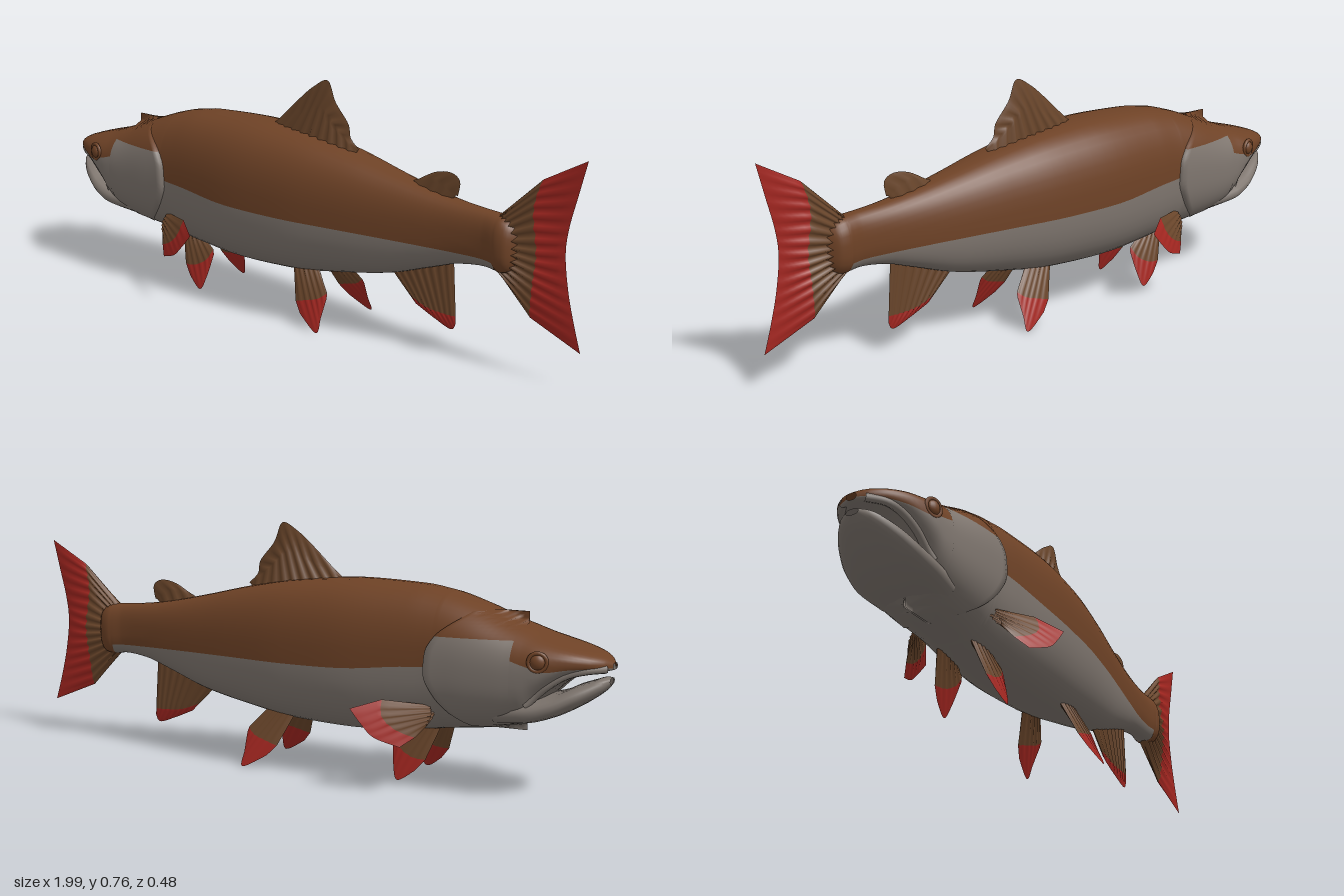
import * as THREE from 'three';

const mat = (name, color) => new THREE.MeshStandardMaterial({ name, color, side: THREE.DoubleSide });
const N = 2.5; // roundness exponent of the body sections

// Body stations: x, top, bottom, half width, height of the colour border
const BODY = [
  [-0.998, 0.412, 0.392, 0.015, 0.398], [-0.98, 0.427, 0.388, 0.05, 0.4], [-0.95, 0.44, 0.385, 0.083, 0.4],
  [-0.9, 0.455, 0.372, 0.115, 0.398], [-0.84, 0.471, 0.33, 0.138, 0.39], [-0.8, 0.482, 0.29, 0.148, 0.4],
  [-0.76, 0.496, 0.235, 0.152, 0.41], [-0.7, 0.516, 0.205, 0.154, 0.43], [-0.6, 0.555, 0.188, 0.154, 0.465],
  [-0.51, 0.583, 0.178, 0.152, 0.47], [-0.495, 0.586, 0.175, 0.152, 0.38], [-0.4, 0.6, 0.16, 0.157, 0.372],
  [-0.2, 0.606, 0.146, 0.167, 0.352], [0, 0.592, 0.153, 0.156, 0.347], [0.2, 0.557, 0.182, 0.126, 0.345],
  [0.35, 0.522, 0.212, 0.097, 0.342], [0.5, 0.49, 0.262, 0.068, 0.338], [0.6, 0.475, 0.293, 0.052, 0.335],
  [0.68, 0.468, 0.302, 0.045, 0.333], [0.72, 0.465, 0.298, 0.05, 0.33], [0.735, 0.464, 0.295, 0.052, 0.2],
  [0.76, 0.455, 0.3, 0.047, 0.2], [0.79, 0.43, 0.33, 0.015, 0.2],
];
const JAW = [
  [-0.992, 0.368, 0.35, 0.02, 1], [-0.975, 0.368, 0.33, 0.05, 1], [-0.94, 0.357, 0.302, 0.082, 1],
  [-0.9, 0.342, 0.276, 0.105, 1], [-0.85, 0.318, 0.25, 0.124, 1], [-0.78, 0.3, 0.226, 0.135, 1], [-0.68, 0.29, 0.212, 0.125, 1],
];

// Monotone cubic interpolation of column c of a station table
function at(tab, x, c) {
  const n = tab.length;
  let i = 0;
  while (i < n - 2 && x > tab[i + 1][0]) i++;
  const d = (k) => (tab[k + 1][c] - tab[k][c]) / (tab[k + 1][0] - tab[k][0]);
  const slope = (k) => {
    if (k === 0) return d(0);
    if (k === n - 1) return d(n - 2);
    const a = d(k - 1), b = d(k);
    return a * b <= 0 ? 0 : (2 * a * b) / (a + b);
  };
  const h = tab[i + 1][0] - tab[i][0];
  const t = THREE.MathUtils.clamp((x - tab[i][0]) / h, 0, 1), s = 1 - t;
  return tab[i][c] * s * s * (1 + 2 * t) + tab[i + 1][c] * t * t * (3 - 2 * t) + h * t * s * (slope(i) * s - slope(i + 1) * t);
}

// Half width of the body at a given x and y
function sideZ(x, y) {
  const t = at(BODY, x, 1), b = at(BODY, x, 2);
  const f = Math.min(1, Math.abs((y - (t + b) / 2) / ((t - b) / 2)));
  return at(BODY, x, 3) * Math.pow(1 - Math.pow(f, N), 1 / N);
}

// Grid surface; pick(i, j) gives the material index of each cell
function grid(nu, nv, point, pick) {
  const pos = [], sets = [[], []];
  for (let i = 0; i <= nu; i++) for (let j = 0; j <= nv; j++) pos.push(...point(i, j));
  for (let i = 0; i < nu; i++) for (let j = 0; j < nv; j++) {
    const a = i * (nv + 1) + j, b = a + nv + 1;
    sets[pick(i, j)].push(a, a + 1, b, b, a + 1, b + 1);
  }
  const g = new THREE.BufferGeometry();
  g.setAttribute('position', new THREE.Float32BufferAttribute(pos, 3));
  g.setIndex([...sets[0], ...sets[1]]);
  g.addGroup(0, sets[0].length, 0);
  g.addGroup(sets[0].length, sets[1].length, 1);
  g.computeVertexNormals();
  return g;
}

// Skin over a station table: belly, back, belly around each ring
function loft(tab, steps) {
  const xs = [];
  for (let k = 0; k < tab.length - 1; k++)
    for (let s = 0; s < steps; s++) xs.push(THREE.MathUtils.lerp(tab[k][0], tab[k + 1][0], s / steps));
  xs.push(tab[tab.length - 1][0]);
  const pw = (v, e) => Math.sign(v) * Math.pow(Math.abs(v), e);
  return grid(xs.length - 1, 40, (i, j) => {
    const x = xs[i], t = at(tab, x, 1), b = at(tab, x, 2), m = (t + b) / 2, h = (t - b) / 2;
    const s = THREE.MathUtils.clamp((at(tab, x, 4) - m) / h, -0.99, 0.99);
    const cut = Math.asin(pw(s, N / 2)), H = Math.PI / 2;
    let a;
    if (j <= 10) a = -H + (cut + H) * j / 10;
    else if (j <= 30) a = cut + (Math.PI - 2 * cut) * (j - 10) / 20;
    else a = Math.PI - cut + (cut + H) * (j - 30) / 10;
    return [x, m + h * pw(Math.sin(a), 2 / N), at(tab, x, 3) * pw(Math.cos(a), 2 / N)];
  }, (i, j) => (j >= 10 && j < 30 ? 0 : 1));
}

// Lens-shaped fin spanned by root, colour border and tip curves; zAt places it sideways
function fin(root, mid, tip, thick, rays, zAt) {
  const [r, m, t] = [root, mid, tip].map((c) => new THREE.SplineCurve(c.map((p) => new THREE.Vector2(...p))));
  const nu = rays * 4, half = 6, nv = half * 2;
  const sheet = (side) => grid(nu, nv, (i, j) => {
    const u = i / nu, v = j / nv;
    const p = j <= half ? r.getPoint(u).lerp(m.getPoint(u), j / half) : m.getPoint(u).lerp(t.getPoint(u), j / half - 1);
    const ridge = 0.8 + 0.25 * Math.cos(u * rays * Math.PI * 2);
    const w = thick * Math.pow(1 - v, 0.8) * Math.sqrt(Math.max(0, Math.sin(Math.PI * u))) * ridge;
    return [p.x, p.y, zAt(p.x, p.y) + side * w];
  }, (i, j) => (j < half ? 0 : 1));
  return [sheet(1), sheet(-1)];
}

export function createModel() {
  const model = new THREE.Group();
  const brown = mat('brown skin', 0x6e4226);
  const finBrown = mat('fin brown', 0x69452a);
  const grey = mat('grey belly', 0x7f766f);
  const red = mat('red fin tip', 0xa32620);
  const add = (name, geo, material, parent = model) => {
    const mesh = new THREE.Mesh(geo, material);
    mesh.name = name;
    parent.add(mesh);
    return mesh;
  };
  const addFin = (name, mats, ...args) => {
    const g = new THREE.Group();
    g.name = name;
    fin(...args).forEach((geo) => add(name + 'Side', geo, mats, g));
    model.add(g);
  };

  add('body', loft(BODY, 4), [brown, grey]);
  add('lowerJaw', loft(JAW, 4), grey);

  // Gill cover: rear edge as a function of height
  const EDGE = [[0.19, -0.62], [0.25, -0.545], [0.3, -0.505], [0.36, -0.48], [0.42, -0.484], [0.47, -0.51], [0.54, -0.6]];
  for (const s of [1, -1]) {
    const side = s > 0 ? 'left' : 'right';
    add(side + 'GillCover', grid(12, 28, (i, j) => {
      const y = j <= 20 ? 0.19 + 0.28 * j / 20 : 0.47 + 0.07 * (j - 20) / 8;
      const u = Math.min(1, i / 11), x = THREE.MathUtils.lerp(-0.74, at(EDGE, y, 1), u);
      const lift = i === 12 ? -0.01 : 0.002 + 0.013 * u * Math.sin(Math.PI * j / 28);
      return [x, y, s * (sideZ(x, y) + lift)];
    }, (i, j) => (j < 20 ? 0 : 1)), [grey, brown]);

    // Upper lip along the mouth
    const lip = [[-0.985, 0.397], [-0.94, 0.394], [-0.89, 0.38], [-0.84, 0.348], [-0.8, 0.312], [-0.775, 0.285]]
      .map(([x, y]) => new THREE.Vector3(x, y, s * (sideZ(x, y) - 0.003)));
    add(side + 'Lip', new THREE.TubeGeometry(new THREE.CatmullRomCurve3(lip), 24, 0.012, 8), grey);

    // Eye and its lid ring
    const eye = new THREE.Group();
    eye.name = side + 'Eye';
    eye.position.set(-0.82, 0.418, s * (sideZ(-0.82, 0.418) - 0.002));
    eye.rotation.y = -s * 0.25;
    add('eyeball', new THREE.SphereGeometry(0.022, 16, 12), brown, eye).scale.z = 0.6;
    add('eyelid', new THREE.TorusGeometry(0.026, 0.006, 8, 20), brown, eye);
    model.add(eye);

    // Paired fins
    addFin(side + 'PectoralFin', [finBrown, red],
      [[-0.49, 0.262], [-0.5, 0.235], [-0.49, 0.205]],
      [[-0.36, 0.276], [-0.37, 0.23], [-0.41, 0.195], [-0.465, 0.172]],
      [[-0.28, 0.25], [-0.32, 0.205], [-0.36, 0.17], [-0.43, 0.145]],
      0.012, 6, (x, y) => s * (0.138 + 0.5 * (x + 0.48) + 0.45 * (0.25 - y)));
    addFin(side + 'LowerPectoralFin', [finBrown, red],
      [[-0.49, 0.18], [-0.44, 0.178], [-0.39, 0.178]],
      [[-0.455, 0.085], [-0.41, 0.09], [-0.365, 0.115], [-0.345, 0.15]],
      [[-0.425, 0.05], [-0.372, 0.018], [-0.352, 0.065], [-0.34, 0.135]],
      0.012, 6, (x, y) => s * (0.06 + 0.3 * (0.17 - y)));
    addFin(side + 'PelvicFin', [finBrown, red],
      [[0, 0.18], [0.05, 0.182], [0.1, 0.185]],
      [[0.045, 0.075], [0.09, 0.088], [0.13, 0.1], [0.157, 0.12]],
      [[0.075, 0.043], [0.153, 0.003], [0.157, 0.05], [0.16, 0.105]],
      0.013, 6, (x, y) => s * (0.066 + 0.42 * (0.17 - y)));
  }

  // Fins on the centre line
  const flat = () => 0;
  addFin('dorsalFin', [finBrown, finBrown],
    [[-0.14, 0.585], [0.03, 0.575], [0.2, 0.545]],
    [[-0.13, 0.603], [-0.02, 0.65], [0.06, 0.67], [0.12, 0.625], [0.2, 0.56]],
    [[-0.12, 0.608], [-0.03, 0.69], [0.03, 0.738], [0.085, 0.762], [0.115, 0.7], [0.165, 0.64], [0.175, 0.598], [0.207, 0.567]],
    0.028, 10, flat);
  addFin('adiposeFin', [finBrown, finBrown],
    [[0.4, 0.5], [0.48, 0.485], [0.55, 0.472]],
    [[0.42, 0.512], [0.5, 0.525], [0.565, 0.49]],
    [[0.43, 0.515], [0.49, 0.547], [0.545, 0.555], [0.578, 0.535], [0.572, 0.49]],
    0.014, 4, flat);
  addFin('analFin', [finBrown, red],
    [[0.33, 0.225], [0.45, 0.26], [0.565, 0.29]],
    [[0.405, 0.153], [0.47, 0.13], [0.53, 0.124], [0.576, 0.122]],
    [[0.43, 0.128], [0.5, 0.098], [0.56, 0.078], [0.577, 0.1]],
    0.018, 9, flat);
  addFin('tailFin', [finBrown, red],
    [[0.71, 0.455], [0.72, 0.38], [0.71, 0.305]],
    [[0.855, 0.59], [0.835, 0.5], [0.85, 0.38], [0.84, 0.28], [0.83, 0.18]],
    [[0.992, 0.665], [0.968, 0.57], [0.943, 0.47], [0.935, 0.39], [0.948, 0.29], [0.97, 0.2], [0.996, 0.113]],
    0.036, 14, flat);

  return model;
}
